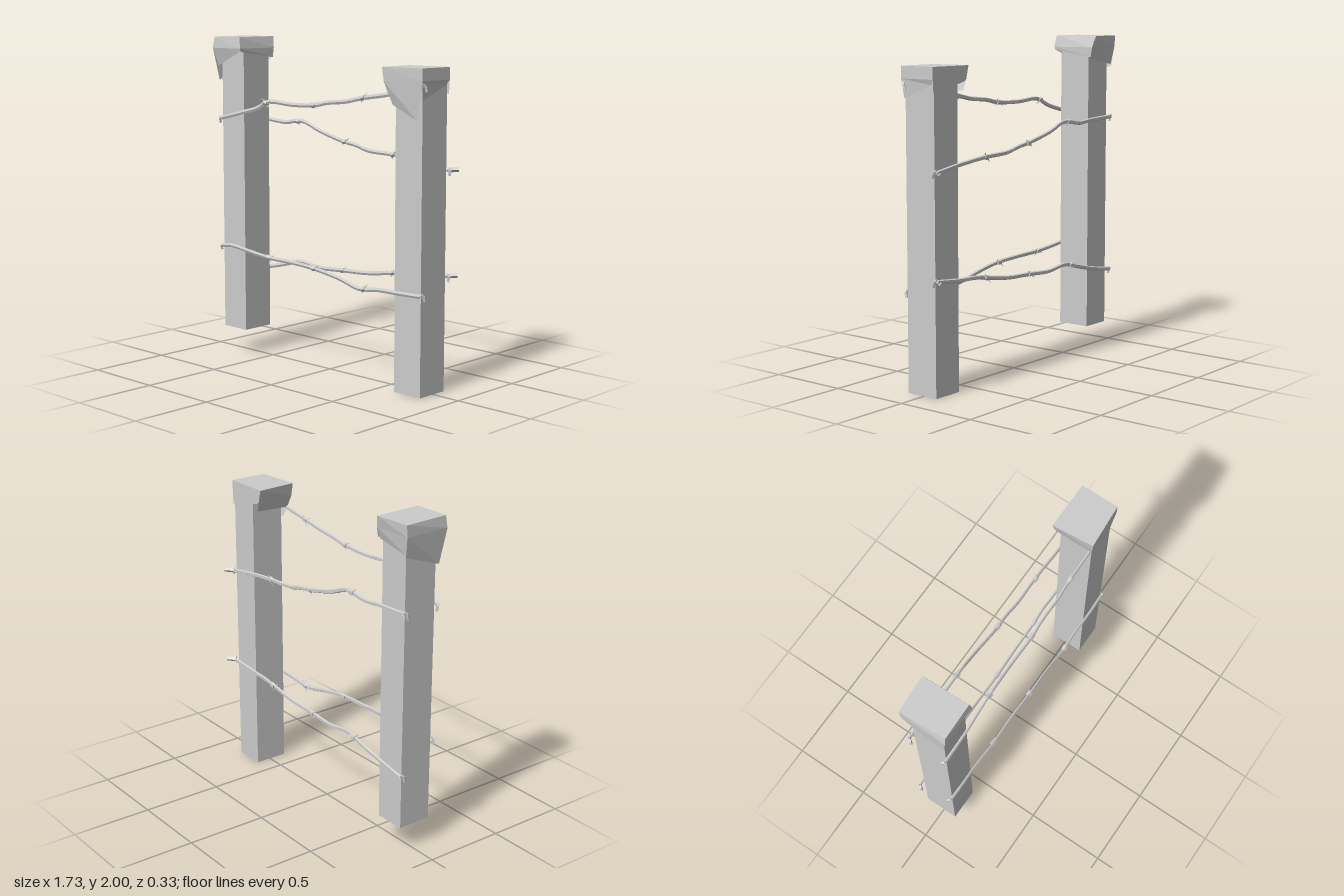
import * as THREE from 'three';

const grey = new THREE.MeshStandardMaterial({ color: 0xcccccc, flatShading: true, side: THREE.DoubleSide });

function add(parent, geometry, name) {
  const mesh = new THREE.Mesh(geometry, grey);
  mesh.name = name;
  parent.add(mesh);
  return mesh;
}

// Square post between two heights
function post(parent, x, y0, y1, name) {
  add(parent, new THREE.BoxGeometry(0.195, y1 - y0, 0.21), name).position.set(x, (y0 + y1) / 2, 0.01);
}

// Folded cap: a top sheet and four separate drooping flaps.
// Corners run front left, front right, back right, back left as seen from the front.
function cap(parent, top, crease, flaps, name) {
  const pos = [];
  const quad = (a, b, c, d) => pos.push(...a, ...b, ...c, ...a, ...c, ...d);
  quad(...top);
  flaps.forEach(([low0, low1], i) => {
    const j = (i + 1) % 4;
    quad(top[i], crease[i], crease[j], top[j]);
    quad(crease[i], low0, low1, crease[j]);
  });
  const g = new THREE.BufferGeometry();
  g.setAttribute('position', new THREE.Float32BufferAttribute(pos, 3));
  g.computeVertexNormals();
  add(parent, g, name);
}

// Barb: a short coil with four crossed spikes
function barb(x, y, z, turn) {
  const g = new THREE.Group();
  g.name = 'barb';
  const coil = add(g, new THREE.CylinderGeometry(0.016, 0.016, 0.03, 5), 'barbCoil');
  coil.rotation.z = Math.PI / 2;
  for (let i = 0; i < 4; i++) {
    const a = Math.PI / 4 + i * Math.PI / 2 + (i % 2 ? 0.15 : -0.15);
    const dir = new THREE.Vector3(Math.cos(a), Math.sin(a), i % 2 ? 0.3 : -0.3).normalize();
    const spike = add(g, new THREE.ConeGeometry(0.006, 0.042, 4), 'barbSpike');
    spike.quaternion.setFromUnitVectors(new THREE.Vector3(0, 1, 0), dir);
    spike.position.copy(dir).multiplyScalar(0.022);
  }
  g.position.set(x, y, z);
  g.rotation.z = turn;
  return g;
}

// Wire: a slightly flattened, uneven tube with three barbs and a hook at each end
function wire(parent, pts, z, barbXs, flareEnd, name) {
  const g = new THREE.Group();
  g.name = name;
  const curve = new THREE.CatmullRomCurve3(
    pts.map(([x, y], i) => new THREE.Vector3(x, y, i % 2 ? 0.003 : -0.003)), false, 'centripetal');
  const strand = add(g, new THREE.TubeGeometry(curve, 36, 0.0135, 5), 'wireStrand');
  strand.geometry.scale(1, 1, 0.65);
  strand.position.z = z;

  const heightAt = (x) => {
    const i = Math.max(1, pts.findIndex((p) => p[0] >= x));
    const [a, b] = [pts[i - 1], pts[i]];
    return a[1] + (b[1] - a[1]) * (x - a[0]) / (b[0] - a[0]);
  };
  barbXs.forEach((x, i) => g.add(barb(x, heightAt(x), z, i * 0.25 - 0.2)));

  // End hooks bent around the post edge
  const out = Math.sign(z);
  [pts[0], pts[pts.length - 1]].forEach(([x, y], i) => {
    const s = i ? 1 : -1;
    const bend = new THREE.CatmullRomCurve3([
      new THREE.Vector3(x, y, z),
      new THREE.Vector3(x + s * 0.012, y + 0.012, z - out * 0.008),
      new THREE.Vector3(x + s * 0.016, y - 0.03, z - out * 0.02),
    ]);
    add(g, new THREE.TubeGeometry(bend, 4, 0.009, 4), 'endHook');
  });
  // Loose tail sticking out past the post
  if (flareEnd) {
    const [x, y] = pts[pts.length - 1];
    const tail = new THREE.LineCurve3(new THREE.Vector3(x - 0.005, y, z), new THREE.Vector3(x + 0.035, y + 0.003, z - 0.04));
    add(g, new THREE.TubeGeometry(tail, 1, 0.014, 4), 'looseTail');
  }
  parent.add(g);
}

export function createModel() {
  const model = new THREE.Group();
  model.name = 'barbedWireFence';

  post(model, -0.725, 0.16, 1.98, 'rightPost');
  post(model, 0.718, 0, 1.84, 'leftPost');

  cap(model,
    [[-0.85, 2, 0.155], [-0.625, 2, 0.15], [-0.635, 2, -0.145], [-0.865, 2, -0.13]],
    [[-0.86, 1.93, 0.16], [-0.612, 1.93, 0.16], [-0.615, 1.93, -0.13], [-0.865, 1.93, -0.125]],
    [
      [[-0.84, 1.82, 0.13], [-0.62, 1.91, 0.155]],
      [[-0.615, 1.91, 0.15], [-0.615, 1.87, -0.12]],
      [[-0.625, 1.86, -0.11], [-0.845, 1.82, -0.11]],
      [[-0.845, 1.81, -0.115], [-0.845, 1.73, 0.12]],
    ], 'rightPostCap');

  cap(model,
    [[0.55, 1.86, 0.155], [0.83, 1.86, 0.135], [0.83, 1.86, -0.1], [0.53, 1.86, -0.1]],
    [[0.56, 1.78, 0.15], [0.83, 1.79, 0.135], [0.83, 1.79, -0.1], [0.55, 1.78, -0.1]],
    [
      [[0.6, 1.65, 0.12], [0.78, 1.57, 0.12]],
      [[0.82, 1.68, 0.12], [0.82, 1.76, -0.08]],
      [[0.825, 1.71, -0.1], [0.57, 1.77, -0.1]],
      [[0.57, 1.72, -0.095], [0.575, 1.71, 0.13]],
    ], 'leftPostCap');

  wire(model, [[-0.84, 1.49], [-0.62, 1.54], [-0.5, 1.57], [-0.4, 1.615], [-0.2, 1.608], [0, 1.615],
    [0.1, 1.635], [0.25, 1.65], [0.37, 1.675], [0.57, 1.705], [0.82, 1.76]],
  0.125, [-0.42, -0.01, 0.38], false, 'frontUpperWire');
  wire(model, [[-0.84, 1.49], [-0.63, 1.48], [-0.5, 1.47], [-0.35, 1.487], [-0.2, 1.435], [0, 1.385],
    [0.1, 1.37], [0.2, 1.345], [0.4, 1.335], [0.62, 1.31], [0.82, 1.28]],
  -0.118, [-0.39, 0.01, 0.4], true, 'backUpperWire');
  wire(model, [[-0.84, 0.68], [-0.74, 0.692], [-0.6, 0.675], [-0.4, 0.655], [-0.2, 0.65], [0, 0.638],
    [0.2, 0.605], [0.36, 0.568], [0.5, 0.582], [0.65, 0.585], [0.82, 0.588]],
  0.125, [-0.4, -0.01, 0.39], false, 'frontLowerWire');
  wire(model, [[-0.84, 0.505], [-0.63, 0.54], [-0.5, 0.57], [-0.37, 0.602], [-0.2, 0.585], [0, 0.595],
    [0.2, 0.605], [0.4, 0.635], [0.5, 0.65], [0.62, 0.653], [0.82, 0.672]],
  -0.118, [-0.42, -0.01, 0.4], true, 'backLowerWire');

  return model;
}
